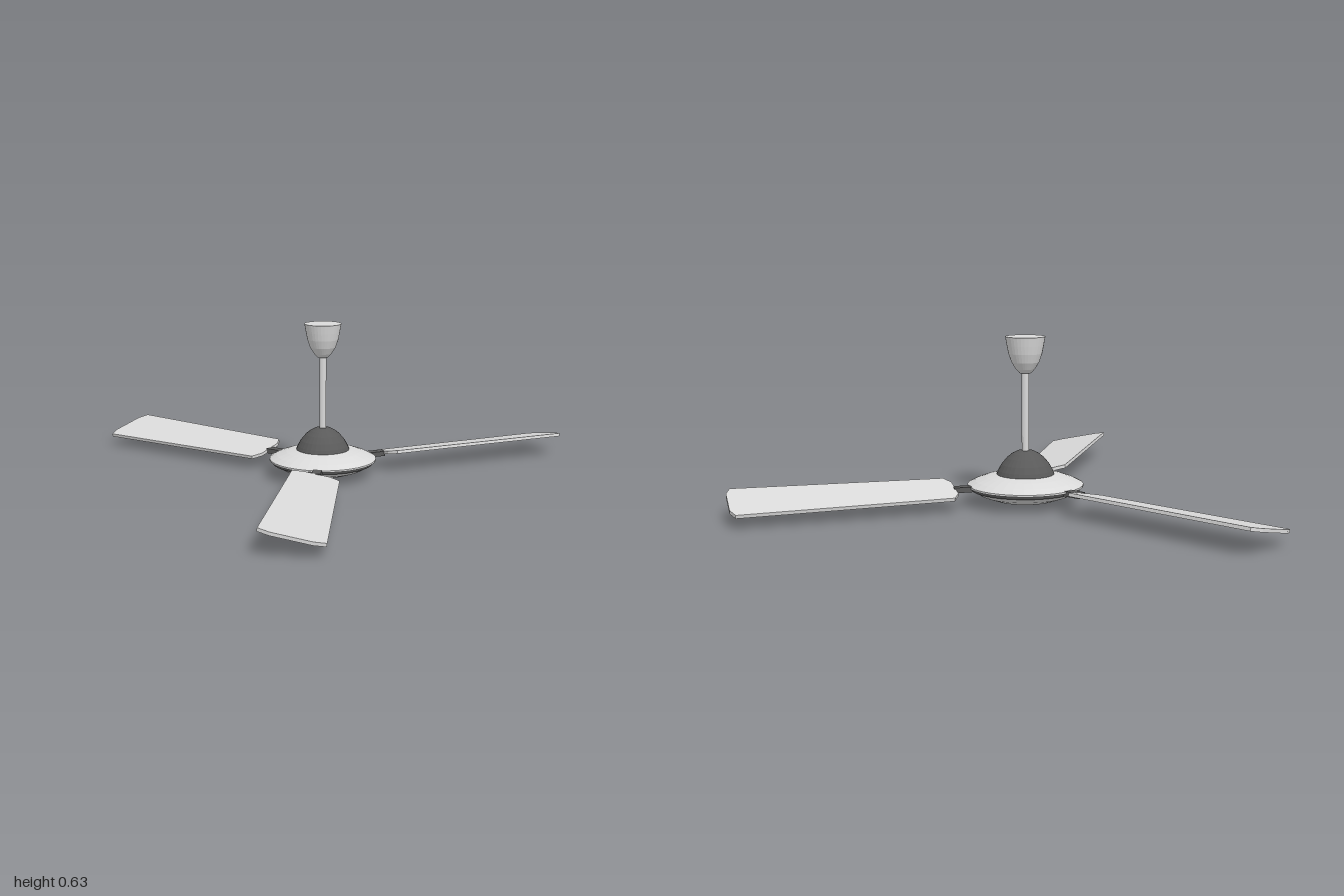
import * as THREE from 'three';

export function createModel() {
  const light = new THREE.MeshStandardMaterial({ color: 0xdadada, flatShading: true });
  light.name = 'light grey enamel';
  const dark = new THREE.MeshStandardMaterial({ color: 0x5a5a5a, flatShading: true });
  dark.name = 'dark grey metal';

  const fan = new THREE.Group();
  fan.name = 'ceilingFan';
  fan.position.z = -0.232;

  const add = (parent, name, geometry, material) => {
    const mesh = new THREE.Mesh(geometry, material);
    mesh.name = name;
    parent.add(mesh);
    return mesh;
  };
  // profiles run from bottom to top as [radius, height]
  const lathe = (name, profile, material) => add(fan, name,
    new THREE.LatheGeometry(profile.map(([r, y]) => new THREE.Vector2(r, y)), 32), material);

  // motor housing: shallow bowl, narrow dark joint, domed cover
  lathe('motorBowl', [[0, 0.002], [0.06, 0.006], [0.12, 0.02], [0.17, 0.038], [0.207, 0.06], [0, 0.06]], light);
  lathe('housingJoint', [[0.207, 0.058], [0.212, 0.072]], dark);
  lathe('motorCover', [[0, 0.07], [0.219, 0.07], [0.219, 0.077], [0.19, 0.092], [0.15, 0.106], [0.1, 0.117], [0, 0.12]], light);

  // lower cap, rod and ceiling canopy
  lathe('lowerCap', [[0.11, 0.112], [0.103, 0.13], [0.09, 0.153], [0.07, 0.177], [0.05, 0.193], [0.03, 0.203], [0, 0.205]], dark);
  add(fan, 'downRod', new THREE.CylinderGeometry(0.014, 0.014, 0.34, 16), light).position.y = 0.36;
  lathe('ceilingCanopy', [[0, 0.495], [0.022, 0.497], [0.036, 0.512], [0.052, 0.538], [0.063, 0.57], [0.069, 0.6], [0.075, 0.634], [0, 0.634]], light);

  // one blade outline: x across, y outward from the hub
  const half = [[0.055, 0.275], [0.096, 0.297], [0.12, 1.083], [0.075, 1.1]];
  const outline = [...half, ...half.map(([x, r]) => [-x, r]).reverse()];
  const shape = new THREE.Shape(outline.map(([x, r]) => new THREE.Vector2(x, r)));
  const thickness = 0.013;
  const bladeGeometry = new THREE.ExtrudeGeometry(shape, { depth: thickness, bevelEnabled: false });
  bladeGeometry.rotateX(Math.PI / 2);
  bladeGeometry.translate(0, thickness / 2, 0);
  bladeGeometry.rotateZ(-0.2);

  // three pitched blades on short arms
  for (let i = 0; i < 3; i++) {
    const assembly = new THREE.Group();
    assembly.name = 'bladeAssembly' + (i + 1);
    assembly.rotation.y = i * Math.PI * 2 / 3;
    add(assembly, 'blade', bladeGeometry, light).position.y = 0.072;
    add(assembly, 'bladeArm', new THREE.BoxGeometry(0.036, 0.02, 0.14), dark).position.set(0, 0.07, 0.21);
    fan.add(assembly);
  }

  const model = new THREE.Group();
  model.name = 'model';
  model.add(fan);
  return model;
}
